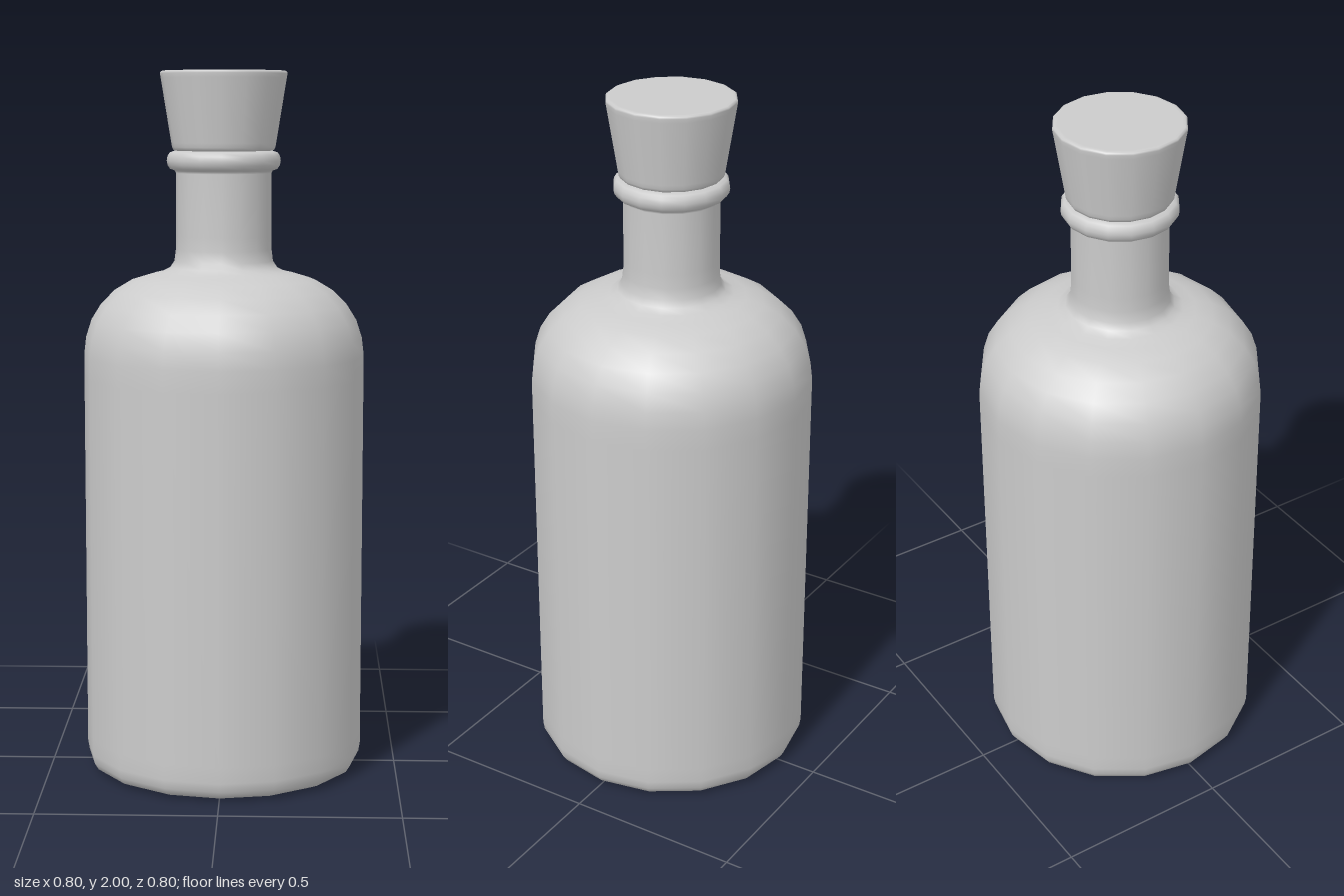
import * as THREE from 'three';

const SIDES = 16;

// Revolves a [radius, height] profile, listed from the underside up the outside.
function turned(name, profile) {
  const points = profile.map(([r, y]) => new THREE.Vector2(r, y));
  const mesh = new THREE.Mesh(
    new THREE.LatheGeometry(points, SIDES),
    new THREE.MeshStandardMaterial({ color: 0xcccccc })
  );
  mesh.name = name;
  return mesh;
}

export function createModel() {
  const group = new THREE.Group();
  group.name = 'stopperedBottle';

  group.add(turned('bottle', [
    // hollow underside
    [0, 0.1], [0.06, 0.095], [0.13, 0.078], [0.19, 0.05], [0.25, 0.018], [0.29, 0.004], [0.32, 0],
    // rounded foot and straight wall
    [0.365, 0.003], [0.385, 0.012], [0.396, 0.03], [0.4, 0.055], [0.4, 0.1], [0.4, 1.14], [0.4, 1.2],
    // shoulder
    [0.394, 1.25], [0.378, 1.3], [0.35, 1.345], [0.31, 1.385], [0.26, 1.415], [0.21, 1.43],
    // neck
    [0.175, 1.438], [0.152, 1.45], [0.14, 1.468], [0.136, 1.5], [0.135, 1.54], [0.135, 1.715],
    // lip ring
    [0.138, 1.722], [0.152, 1.727], [0.159, 1.738], [0.161, 1.75], [0.159, 1.763],
    [0.152, 1.773], [0.138, 1.778],
    // inside of the mouth
    [0.115, 1.776], [0.105, 1.76], [0.105, 1.5]
  ]));

  group.add(turned('stopper', [
    // plug inside the neck
    [0, 1.65], [0.1, 1.65], [0.104, 1.655], [0.104, 1.775],
    // tapered head
    [0.135, 1.777], [0.142, 1.78], [0.146, 1.788], [0.148, 1.8],
    [0.177, 1.98], [0.179, 1.992], [0.178, 1.997], [0.173, 2], [0.165, 2], [0, 2]
  ]));

  return group;
}
